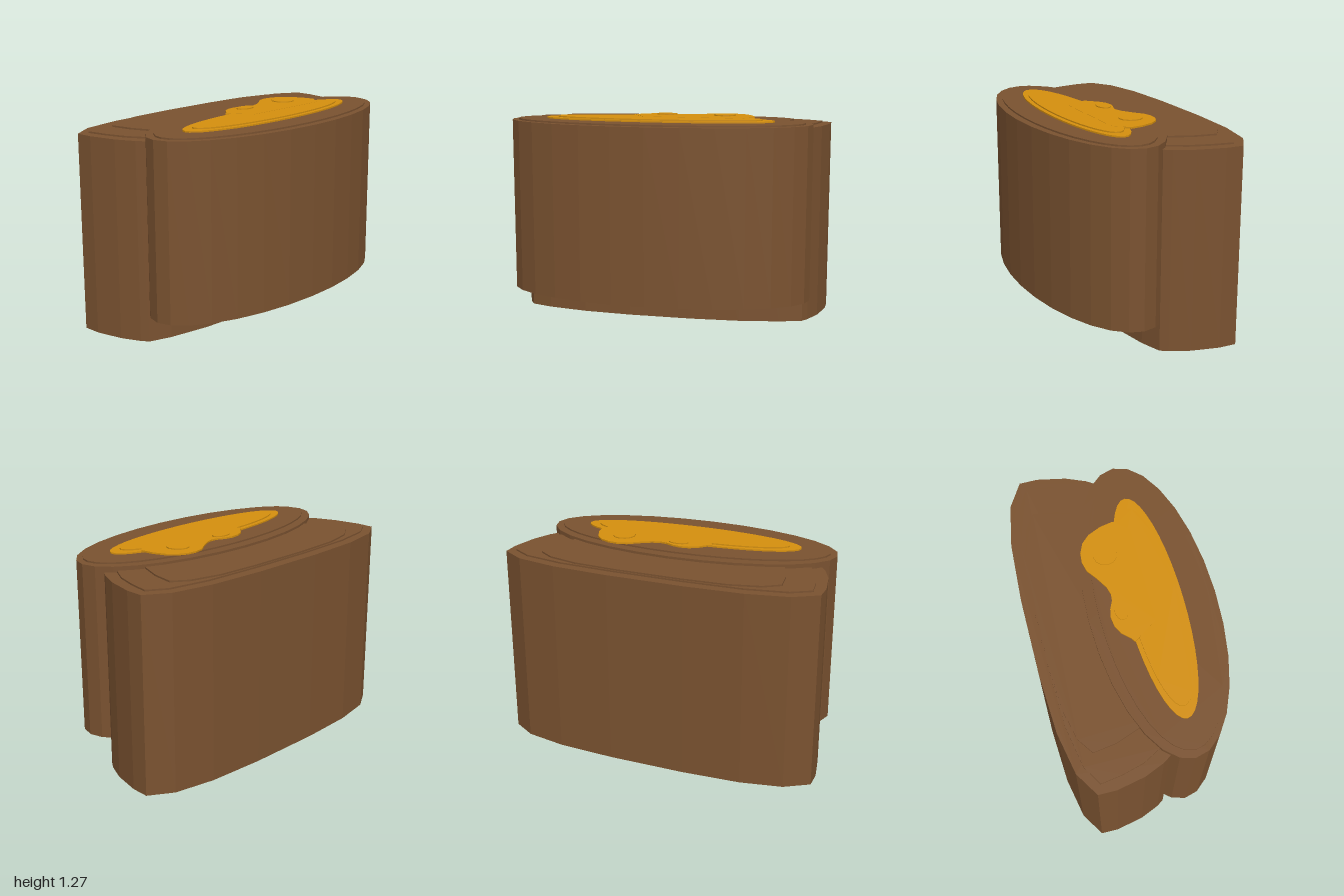
import * as THREE from 'three';

const brown = new THREE.MeshStandardMaterial({ color: 0x7a5230 });
brown.name = 'brown';
const gold = new THREE.MeshStandardMaterial({ color: 0xd48f0e });
gold.name = 'gold';

// Upright slab from an [x, z] outline, between heights y0 and y1
function slab(name, points, y0, y1, material) {
  const shape = new THREE.Shape(points.map(([x, z]) => new THREE.Vector2(x, -z)));
  const geometry = new THREE.ExtrudeGeometry(shape, { depth: y1 - y0, bevelEnabled: false });
  geometry.rotateX(-Math.PI / 2);
  geometry.translate(0, y0, 0);
  const mesh = new THREE.Mesh(geometry, material);
  mesh.name = name;
  return mesh;
}

// Closed outline from its +x half
const mirrored = (half) => [...half, ...half.map(([x, z]) => [-x, z]).reverse()];

function ellipse(cx, cz, rx, rz, sides) {
  return Array.from({ length: sides }, (_, i) => {
    const a = (i / sides) * Math.PI * 2;
    return [cx + rx * Math.cos(a), cz + rz * Math.sin(a)];
  });
}

export function createModel() {
  const model = new THREE.Group();
  model.name = 'doubleBlock';

  // Rear block with a flat back and bowed front
  const rear = mirrored([
    [0.24, -0.56], [0.6, -0.54], [0.855, -0.49], [1, -0.4], [1, -0.29],
    [0.965, -0.12], [0.915, 0.0], [0.885, 0.045], [0.75, 0.09], [0.5, 0.135], [0.2, 0.155],
  ]);
  const rearRim = mirrored([
    [0.22, -0.5], [0.58, -0.485], [0.83, -0.44], [0.945, -0.37], [0.925, -0.24], [0.89, -0.11], [0.83, 0],
  ]);
  const rearPanel = mirrored([
    [0.2, -0.495], [0.48, -0.48], [0.67, -0.435], [0.765, -0.37], [0.745, -0.23], [0.69, -0.08], [0.65, 0],
  ]);
  model.add(
    slab('rearBlock', rear, 0, 1.205, brown),
    slab('rearRim', rearRim, 1.2, 1.215, brown),
    slab('rearPanel', rearPanel, 1.21, 1.225, brown),
  );

  // Raised oval block in front
  model.add(
    slab('frontBlock', ellipse(0, 0.175, 0.94, 0.382, 28), 0.17, 1.24, brown),
    slab('frontRim', ellipse(0, 0.185, 0.895, 0.327, 36), 1.235, 1.25, brown),
  );

  // Gold inlay: two stacked ovals
  model.add(
    slab('inlayBase', ellipse(0, 0.19, 0.712, 0.172, 40), 1.25, 1.259, gold),
    slab('inlayTop', ellipse(0, 0.19, 0.64, 0.145, 40), 1.259, 1.267, gold),
  );

  // Two-humped shape behind the ovals
  const humps = [
    [-0.2, 0.02], [-0.175, 0.005], [-0.13, -0.045], [-0.08, -0.072], [-0.02, -0.08], [0.03, -0.07],
    [0.08, -0.047], [0.12, -0.043], [0.17, -0.057], [0.24, -0.1], [0.3, -0.145], [0.36, -0.16],
    [0.42, -0.155], [0.48, -0.128], [0.525, -0.08], [0.56, 0], [0.575, 0.08], [0.5, 0.17], [-0.1, 0.17],
  ];
  model.add(slab('humps', humps, 1.258, 1.268, gold));

  // Small round studs on the humps
  model.add(
    slab('leftStud', ellipse(0.375, -0.015, 0.07, 0.072, 12), 1.267, 1.275, gold),
    slab('rightStud', ellipse(0.01, -0.01, 0.065, 0.04, 14), 1.267, 1.275, gold),
  );
  return model;
}
